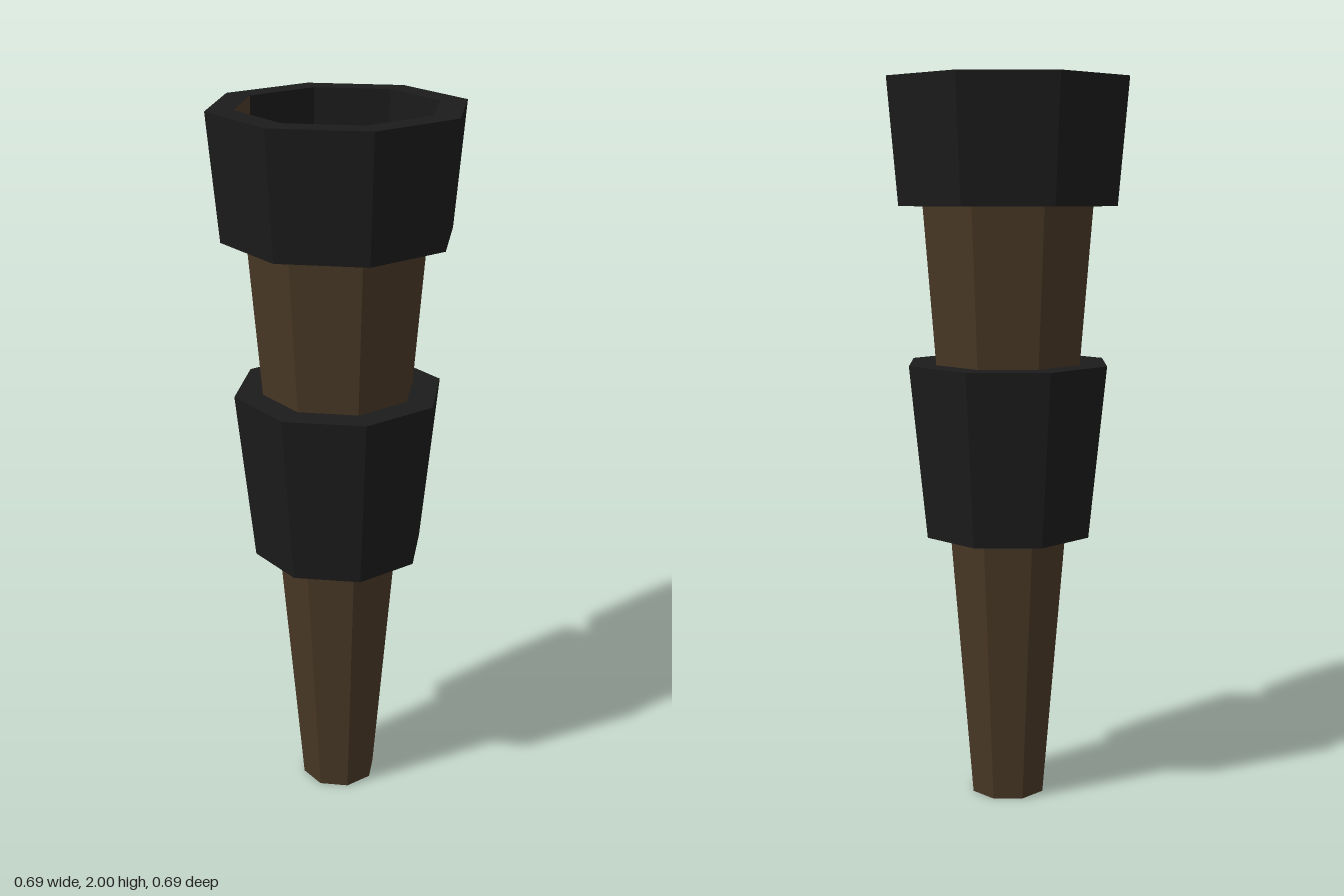
import * as THREE from 'three';

const SIDES = 8;
const brown = new THREE.MeshStandardMaterial({ color: 0x483826, flatShading: true });
const black = new THREE.MeshStandardMaterial({ color: 0x1b1b1b, flatShading: true });

// Eight-sided turned part; the profile is [radius, height] pairs, and
// sides / start select part of the way round.
function turned(name, profile, material, sides = SIDES, start = 0) {
  const points = profile.map(([r, y]) => new THREE.Vector2(r, y));
  const step = (Math.PI * 2) / SIDES;
  const geometry = new THREE.LatheGeometry(points, sides, start * step, sides * step);
  const mesh = new THREE.Mesh(geometry, material);
  mesh.name = name;
  return mesh;
}

export function createModel() {
  const group = new THREE.Group();
  group.name = 'taperedHandle';

  const floorY = 1.775;
  const boreR = 0.271;

  // Tapered wooden shaft with a closed foot
  group.add(turned('shaft', [[0, 0], [0.107, 0], [0.172, 0.76], [0.247, 1.665], [0.25, 1.7]], brown));

  // Flared band around the middle
  group.add(turned('middleBand', [[0.165, 0.757], [0.24, 0.757], [0.29, 1.235], [0.2, 1.235]], black));

  // Flared collar at the top, ending in a flat rim
  group.add(turned('topCollar', [[0.235, 1.663], [0.315, 1.663], [0.345, 2], [boreR, 2]], black));

  // Socket inside the collar: seven dark walls, one brown wall and a floor
  const wall = [[boreR, 2], [boreR, floorY]];
  group.add(turned('socketWalls', wall, black, 7, 7));
  group.add(turned('socketBrownWall', wall, brown, 1, 6));
  group.add(turned('socketFloor', [[boreR, floorY], [0, floorY]], black));

  return group;
}
